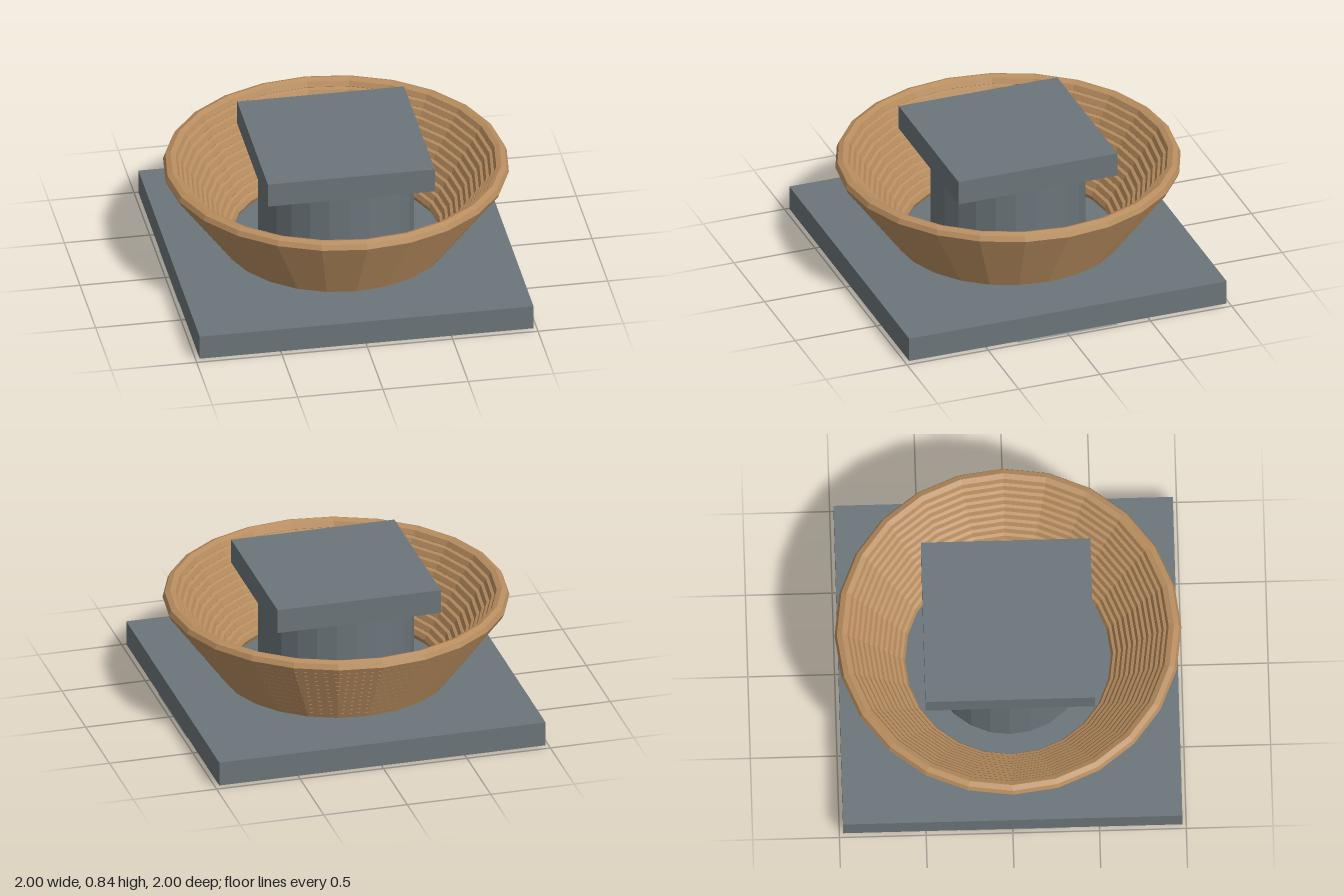
import * as THREE from 'three';

export function createModel() {
  const model = new THREE.Group();
  const slate = new THREE.MeshStandardMaterial({ name: 'slate grey', color: 0x6b757a, flatShading: true });
  const wicker = new THREE.MeshStandardMaterial({ name: 'wicker tan', color: 0xb88d5f, flatShading: true });
  const pale = new THREE.MeshStandardMaterial({ name: 'pale grey', color: 0xa8aca8, flatShading: true });

  const add = (name, geometry, material, x, y, z, parent = model) => {
    const mesh = new THREE.Mesh(geometry, material);
    mesh.name = name;
    mesh.position.set(x, y, z);
    parent.add(mesh);
    return mesh;
  };

  // Square base, central column and square cap
  add('basePlate', new THREE.BoxGeometry(1.956, 0.146, 1.956), slate, 0, 0.083, 0);
  add('column', new THREE.CylinderGeometry(0.45, 0.45, 0.54, 24), slate, 0, 0.426, 0);
  add('capPlate', new THREE.BoxGeometry(0.978, 0.146, 0.978), slate, 0, 0.767, 0);

  // Thin pads under the two sides of the base
  for (const side of [-1, 1]) {
    add(side > 0 ? 'leftPad' : 'rightPad', new THREE.BoxGeometry(0.452, 0.01, 0.61), pale, side * 0.752, 0.005, 0);
  }

  // Coiled basket: stacked rings widening towards the rim
  const basket = new THREE.Group();
  basket.name = 'coiledBasket';
  model.add(basket);
  const coils = 12, tube = 0.043;
  for (let i = 0; i < coils; i++) {
    const t = i / (coils - 1);
    const ring = new THREE.TorusGeometry(THREE.MathUtils.lerp(0.636, 0.957, t), tube, 8, 24);
    ring.rotateX(Math.PI / 2);
    add('basketCoil', ring, wicker, 0, THREE.MathUtils.lerp(0.212, 0.645, t), 0, basket);
  }
  return model;
}
